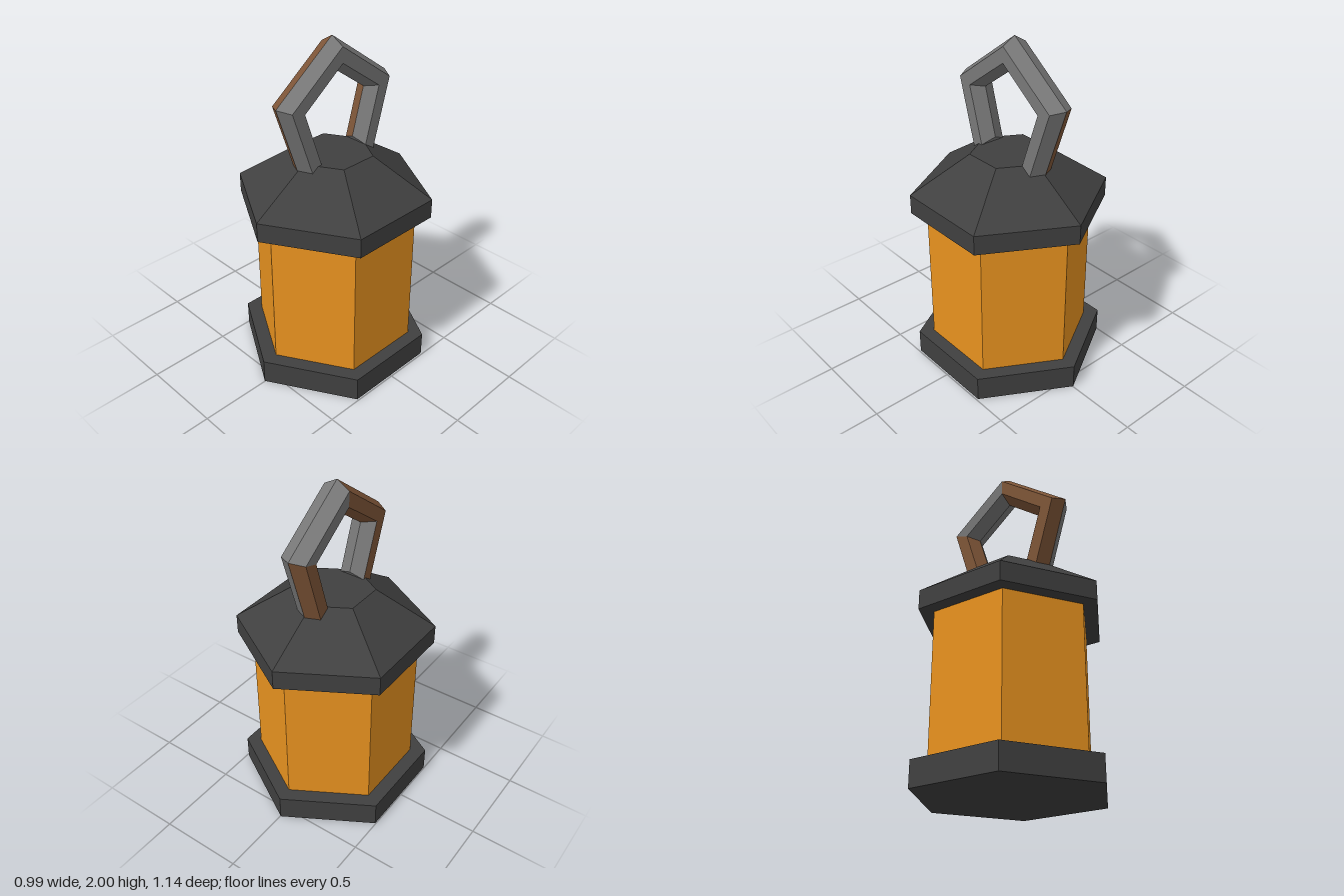
import * as THREE from 'three';

const flat = (color) => new THREE.MeshStandardMaterial({ color, flatShading: true });

export function createModel() {
  const model = new THREE.Group();
  model.name = 'lantern';

  const iron = flat(0x404040);
  const amber = flat(0xe8921f);
  const steel = flat(0x777777);
  const rust = flat(0x7f5638);

  const add = (name, geometry, material, parent = model) => {
    const mesh = new THREE.Mesh(geometry, material);
    mesh.name = name;
    parent.add(mesh);
    return mesh;
  };

  // Hexagonal base and glass, corners towards front and back
  add('base', new THREE.CylinderGeometry(0.569, 0.569, 0.15, 6), iron).position.set(-0.003, 0.075, 0.001);
  add('glass', new THREE.CylinderGeometry(0.477, 0.477, 0.85, 6), amber).position.y = 0.575;

  // Roof with an upright eave and a flat top
  const roofProfile = [[0, 1], [0.567, 1], [0.567, 1.115], [0.226, 1.34], [0, 1.34]]
    .map(([r, y]) => new THREE.Vector2(r, y));
  add('roof', new THREE.LatheGeometry(roofProfile, 6), iron);

  // Carrying handle: four sides of a pentagonal ring with a hexagonal section
  const handle = new THREE.Group();
  handle.name = 'handle';
  const R = 0.336, r = 0.09, sides = 6, bars = 4;
  const arc = THREE.MathUtils.degToRad(288);
  const start = THREE.MathUtils.degToRad(-54);
  const ring = new THREE.TorusGeometry(R, r, sides, bars, arc).rotateZ(start);

  // Rusty faces per side of the section; bars run from front leg to back leg
  const rusty = [[0, 1, 3], [0, 1, 3], [1, 3], [], [], []];
  for (let side = 0; side < sides; side++) {
    for (let bar = 0; bar < bars; bar++) {
      ring.addGroup((side * bars + bar) * 6, 6, rusty[side].includes(bar) ? 1 : 0);
    }
  }
  add('handleRing', ring, [steel, rust], handle);

  // Caps on the two handle ends
  for (const [angle, turn] of [[start, Math.PI / 2], [start + arc, -Math.PI / 2]]) {
    const cap = new THREE.CircleGeometry(r, sides).rotateX(turn).translate(R, 0, 0).rotateZ(angle);
    add('handleEnd', cap, steel, handle);
  }

  // Stand the ring front to back, leaning slightly sideways
  handle.rotation.set(0, -Math.PI / 2, 0.024, 'ZYX');
  handle.position.set(-0.011, 1.574, -0.012);
  model.add(handle);

  return model;
}
